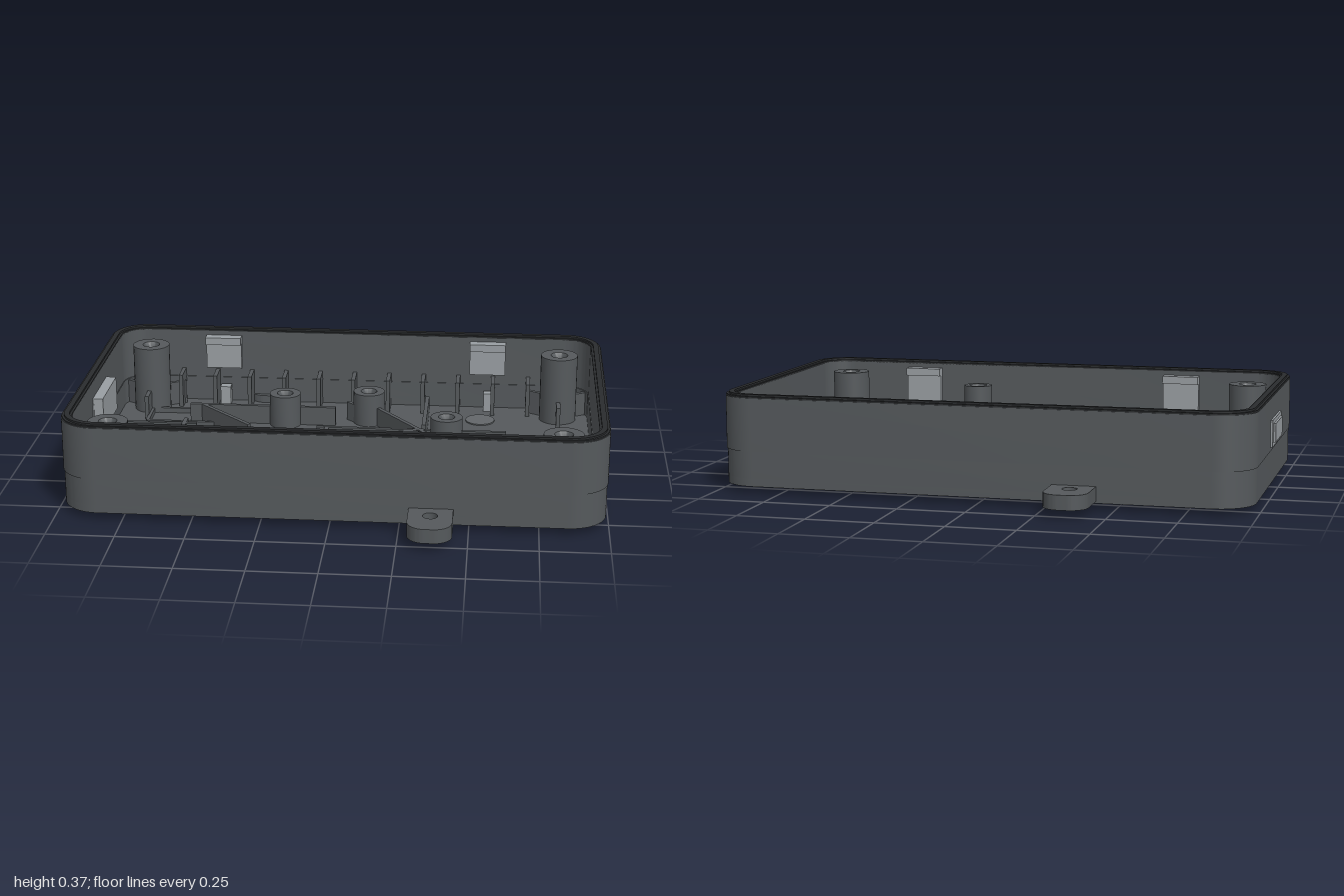
import * as THREE from 'three';
import { toCreasedNormals } from 'three/addons/utils/BufferGeometryUtils.js';

const mat = (color) => new THREE.MeshStandardMaterial({ color });
const body = mat(0x55595c), dark = mat(0x2a2c2e), light = mat(0x999ea2), mark = mat(0x63676a);
const CX = 0.005, FLOOR = 0.055;

// rounded rectangle in plan (x, z), centred on cx, cz
function roundRect(cx, cz, w, d, r, Type = THREE.Shape) {
  const s = new Type(), x = w / 2 - r, z = d / 2 - r, q = Math.PI / 2;
  s.absarc(cx + x, cz + z, r, 0, q);
  s.absarc(cx - x, cz + z, r, q, 2 * q);
  s.absarc(cx - x, cz - z, r, 2 * q, 3 * q);
  s.absarc(cx + x, cz - z, r, 3 * q, 4 * q);
  s.closePath();
  return s;
}

const circle = (x, z, r) => new THREE.Path().absarc(x, z, r, 0, Math.PI * 2, true);

// plan shape extruded from y0 to y1
function slab(shape, y0, y1) {
  const g = new THREE.ExtrudeGeometry(shape, { depth: y1 - y0, bevelEnabled: false, curveSegments: 10 });
  return toCreasedNormals(g.rotateX(Math.PI / 2).translate(0, y1, 0), 0.6);
}

// rounded frame with an open middle
function frame(cx, cz, w, d, r, t, y0, y1) {
  const s = roundRect(cx, cz, w, d, r);
  s.holes.push(roundRect(cx, cz, w - 2 * t, d - 2 * t, Math.max(r - t, 0.005), THREE.Path));
  return slab(s, y0, y1);
}

// hollow screw post with a countersunk top
function post(r, hole, sink, y0, y1) {
  const p = [[hole, y0], [r, y0], [r, y1], [sink, y1], [hole, y1 - 0.02], [hole, y0]];
  return toCreasedNormals(new THREE.LatheGeometry(p.map(([x, y]) => new THREE.Vector2(x, y)), 28), 0.6);
}

export function createModel() {
  const root = new THREE.Group();
  const add = (name, geo, material = body, x = 0, y = 0, z = 0) => {
    const m = new THREE.Mesh(geo, material);
    m.name = name;
    m.position.set(x, y, z);
    root.add(m);
    return m;
  };
  const box = (name, x0, x1, y0, y1, z0, z1, material) => add(name,
    new THREE.BoxGeometry(x1 - x0, y1 - y0, z1 - z0), material,
    (x0 + x1) / 2, (y0 + y1) / 2, (z0 + z1) / 2);
  // thin upright rib between two plan points
  const rib = (name, x0, z0, x1, z1, top, t = 0.016) => {
    const m = add(name, new THREE.BoxGeometry(Math.hypot(x1 - x0, z1 - z0), top - FLOOR + 0.01, t), body,
      (x0 + x1) / 2, (top + FLOOR - 0.01) / 2, (z0 + z1) / 2);
    m.rotation.y = -Math.atan2(z1 - z0, x1 - x0);
  };

  const corners = [[-0.82, -0.45], [0.83, -0.45], [-0.82, 0.45], [0.83, 0.45]];
  const bosses = [[-0.257, -0.3], [0.075, -0.352], [0.395, -0.078], [-0.283, 0.21], [0.19, 0.23]];

  // tray floor pierced by the screw holes
  const floor = roundRect(CX, 0, 1.972, 1.204, 0.14);
  [...corners, ...bosses].forEach(([x, z]) => floor.holes.push(circle(x, z, 0.022)));
  add('floor', slab(floor, 0.025, FLOOR));

  // walls in two bands with a seam, and the dark rim
  add('lowerWall', frame(CX, 0, 1.972, 1.204, 0.14, 0.04, FLOOR, 0.155));
  add('upperWall', frame(CX, 0, 1.978, 1.21, 0.14, 0.04, 0.155, 0.352));
  add('rimLedge', frame(CX, 0, 1.972, 1.204, 0.137, 0.037, 0.35, 0.358), dark);
  add('rimLip', frame(CX, 0, 1.955, 1.187, 0.13, 0.02, 0.355, 0.365), dark);

  // corner posts, each braced by three spokes
  corners.forEach(([x, z]) => {
    add('cornerPost', post(0.073, 0.022, 0.034, FLOOR - 0.005, 0.325), body, x, 0, z);
    for (let i = 0; i < 3; i++) {
      const a = Math.PI / 2 + i * Math.PI * 2 / 3, c = Math.cos(a), s = Math.sin(a);
      const end = z > 0 && i === 0 ? 0.115 : 0.145;
      rib('postSpoke', x + c * 0.06, z + s * 0.06, x + c * end, z + s * end, 0.15);
    }
  });

  // board bosses and the taller hollow post
  bosses.forEach(([x, z]) => add('boardBoss', post(0.062, 0.022, 0.032, FLOOR - 0.005, 0.185), body, x, 0, z));
  add('tallPost', post(0.056, 0.03, 0.036, FLOOR - 0.005, 0.29), body, 0.273, 0, 0.41);

  // floor ribs: x0, z0, x1, z1
  [
    [-0.64, -0.3, -0.315, -0.3], [-0.2, -0.3, -0.055, -0.3],
    [-0.59, -0.3, -0.375, -0.08], [-0.01, -0.375, 0.03, -0.335], [0.115, -0.31, 0.32, -0.04],
    [0.305, -0.46, 0.305, -0.13], [-0.11, -0.078, 0.337, -0.078], [0.453, -0.078, 0.625, -0.078],
    [-0.07, -0.078, -0.07, 0.23], [0.567, -0.025, 0.567, 0.23],
    [-0.755, 0.23, -0.335, 0.23], [-0.23, 0.23, 0.135, 0.23], [0.245, 0.23, 0.28, 0.23],
    [-0.335, 0.285, -0.055, 0.285], [-0.59, 0.285, -0.375, 0.065],
    [-0.91, -0.075, -0.58, -0.075], [-0.91, 0.065, -0.58, 0.065], [-0.63, -0.13, -0.63, 0.23],
  ].forEach((r) => rib('floorRib', ...r, 0.13));

  // row of stiffening fins along both long walls
  for (const side of [-1, 1])
    for (let i = 0; i < 11; i++)
      rib('wallFin', -0.706 + i * 0.1415, side * 0.57, -0.706 + i * 0.1415, side * 0.465, 0.19);

  // low rectangular frame
  add('floorFrame', frame(-0.66, -0.318, 0.31, 0.165, 0.02, 0.014, FLOOR - 0.005, 0.075));

  // raised pad with two locating pins
  add('raisedPad', slab(roundRect(0.55, 0.303, 0.42, 0.24, 0.03), FLOOR - 0.005, 0.09));
  [[0.417, 0.23], [0.68, 0.375]].forEach(([x, z]) =>
    add('locatingPin', new THREE.CylinderGeometry(0.018, 0.018, 0.1, 16), light, x, 0.135, z));

  // shallow round marks on the floor
  [[-0.575, -0.4], [0.52, -0.4], [0.745, 0.15], [-0.575, 0.39], [0.1, 0.39]].forEach(([x, z]) =>
    add('floorDisc', new THREE.CylinderGeometry(0.058, 0.058, 0.006, 28), mark, x, FLOOR + 0.002, z));

  // snap clips with hooked tops and small rests below
  for (const side of [-1, 1])
    for (const x of [-0.537, 0.543]) {
      const z = (a, b) => (side > 0 ? [a, b] : [-b, -a]);
      box('clipPlate', x - 0.072, x + 0.072, 0.2, 0.32, ...z(0.545, 0.572), light);
      box('clipHook', x - 0.072, x + 0.072, 0.305, 0.335, ...z(0.522, 0.572), light);
      box('clipRest', x - 0.012, x + 0.03, FLOOR, 0.13, ...z(0.51, 0.55), light);
    }

  // side socket passing through the right wall
  box('socketBlock', -0.945, -0.905, 0.16, 0.29, -0.135, 0.125, light);
  box('socketFace', -0.992, -0.94, 0.17, 0.27, -0.13, 0.13, light);
  box('socketInsert', -1, -0.985, 0.185, 0.255, -0.1, 0.1, light);

  // mounting ears
  [[0.365, 1], [-0.355, -1]].forEach(([x, side]) => {
    const ear = roundRect(x, side * 0.665, 0.16, 0.25, 0.065);
    ear.holes.push(circle(x, side * 0.667, 0.027));
    add('mountingEar', slab(ear, 0.032, 0.085));
  });

  // small flared foot under the floor
  add('foot', new THREE.CylinderGeometry(0.026, 0.043, 0.027, 28), body, -0.835, 0.0135, 0);

  return root;
}
